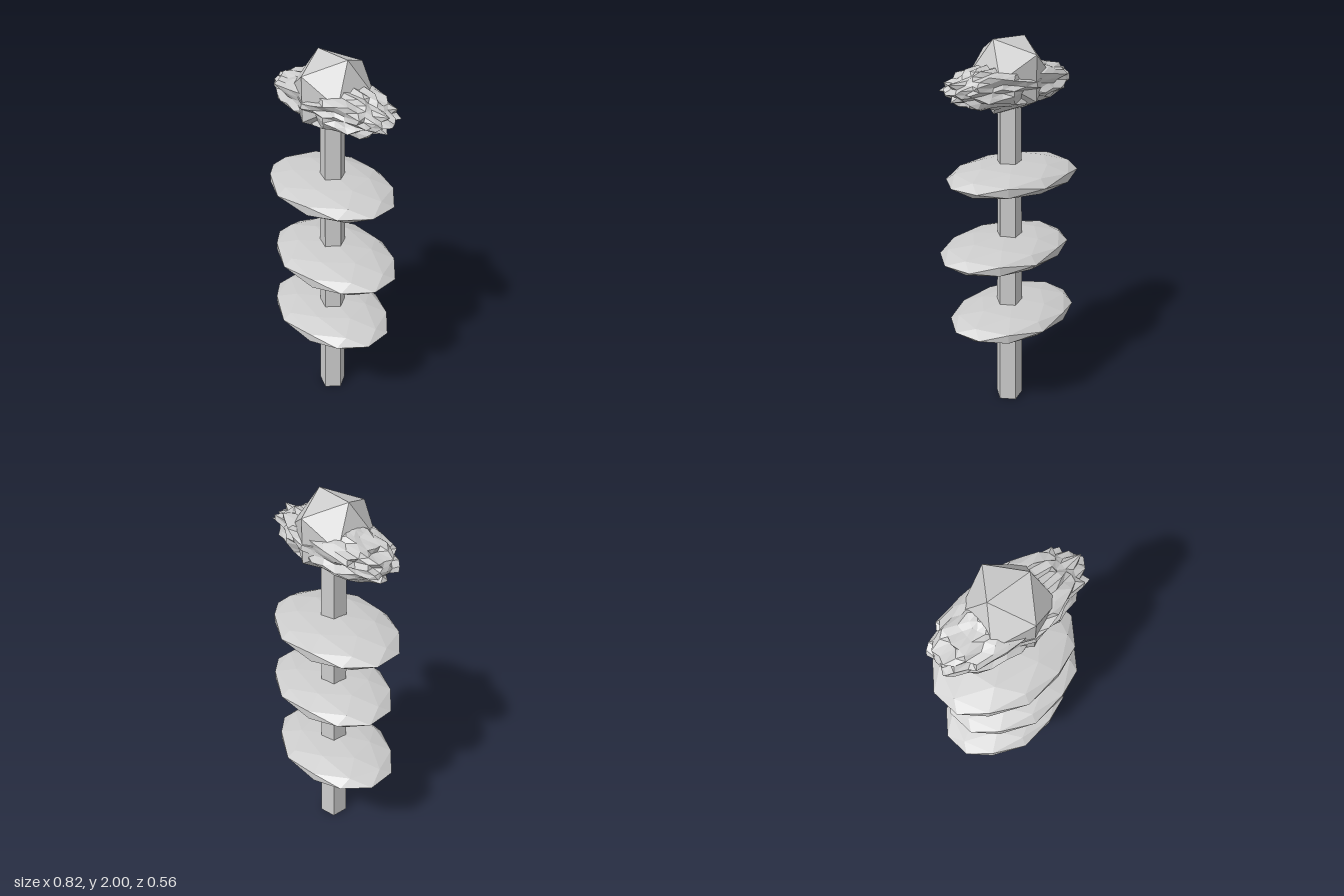
import * as THREE from 'three';

const material = new THREE.MeshStandardMaterial({ color: 0xcccccc, flatShading: true });

function addPart(group, name, geometry, x, y, z) {
  const mesh = new THREE.Mesh(geometry, material);
  mesh.name = name;
  mesh.position.set(x, y, z);
  group.add(mesh);
  return mesh;
}

// Repeatable value in 0..1 for a point, mirrored across z
function noise(v) {
  const [a, b, c] = [v.x, v.y, Math.abs(v.z)].map((n) => Math.round(n * 97 + 0.31));
  const s = Math.sin(a * 12.9898 + b * 78.233 + c * 37.719) * 43758.5453;
  return s - Math.floor(s);
}

// Ellipsoid whose points are pulled inwards by uneven amounts to leave spikes
function spikyGeometry(rx, ry, rz) {
  const geometry = new THREE.IcosahedronGeometry(1, 5);
  const position = geometry.attributes.position;
  const v = new THREE.Vector3();
  for (let i = 0; i < position.count; i++) {
    v.fromBufferAttribute(position, i);
    let reach = 0.78 + 0.22 * noise(v);
    if (v.x > 0.995) reach = 0.96; // pointed end
    if (v.x < -0.97) reach = 0.88; // blunt end
    position.setXYZ(i, v.x * reach * rx, v.y * reach * ry, v.z * reach * rz);
  }
  geometry.computeVertexNormals();
  return geometry;
}

export function createModel() {
  const group = new THREE.Group();

  // Five-sided tapering trunk with one edge towards +x
  const trunk = new THREE.CylinderGeometry(0.062, 0.077, 1.75, 5);
  trunk.rotateY(Math.PI / 2);
  addPart(group, 'trunk', trunk, 0, 0.875, 0);

  // Flattened foliage tiers, alternately shifted
  [0.535, 0.93, 1.322].forEach((y, i) => {
    const side = i % 2 ? 1 : -1;
    const tier = new THREE.IcosahedronGeometry(1, 1);
    tier.rotateY(-0.175);
    tier.scale(0.39, 0.075, 0.28);
    tier.computeVertexNormals();
    addPart(group, 'foliageTier' + (i + 1), tier, side * 0.024, y, side * 0.006);
  });

  // Spiky crown and the faceted cap set into it
  addPart(group, 'spikyCrown', spikyGeometry(0.43, 0.118, 0.193), 0, 1.785, 0);
  addPart(group, 'cap', new THREE.IcosahedronGeometry(0.206, 0), 0, 1.825, 0);

  return group;
}
